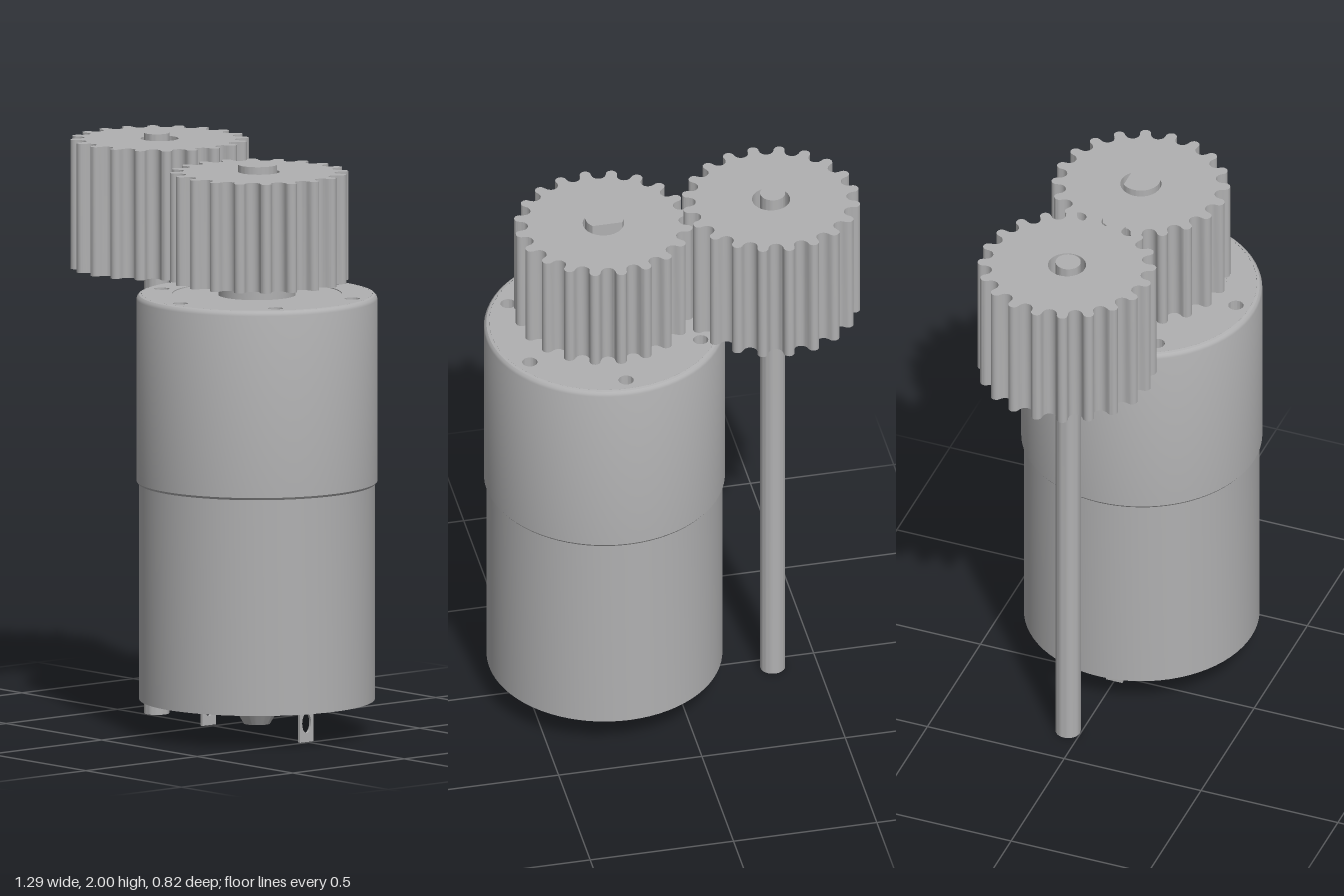
import * as THREE from 'three';
import { toCreasedNormals } from 'three/addons/utils/BufferGeometryUtils.js';

const gray = new THREE.MeshStandardMaterial({ color: 0xb0b0b1 });
gray.name = 'plain gray';

const MOTOR_X = 0.23;

function part(name, geometry, x = 0, y = 0, z = 0) {
  const mesh = new THREE.Mesh(toCreasedNormals(geometry, 0.5), gray);
  mesh.name = name;
  mesh.position.set(x, y, z);
  return mesh;
}

// Turned part from [radius, height] pairs, listed from the bottom up
function turned(name, profile, x = 0, z = 0, segments = 72) {
  const points = profile.map(([r, y]) => new THREE.Vector2(r, y));
  return part(name, new THREE.LatheGeometry(points, segments), x, 0, z);
}

// Flat outline extruded upwards
function upright(name, shape, height, x, y, z) {
  const geometry = new THREE.ExtrudeGeometry(shape, { depth: height, bevelEnabled: false, curveSegments: 24 });
  geometry.rotateX(-Math.PI / 2);
  return part(name, geometry, x, y, z);
}

function circlePath(x, y, r) {
  return new THREE.Path().absarc(x, y, r, 0, Math.PI * 2, true);
}

// Gear outline: round tips alternating with round valleys
function gearShape(teeth, holeRadius) {
  const points = [];
  const steps = 8;
  for (let i = 0; i < teeth * 2; i++) {
    const tip = i % 2 === 0;
    const angle = (i * Math.PI) / teeth;
    for (let j = 0; j < steps; j++) {
      const phi = -Math.PI / 2 + (Math.PI * (j + 0.5)) / steps;
      const t = (tip ? 0.019 : 0.025) * Math.sin(phi);
      const r = tip ? 0.286 + 0.019 * Math.cos(phi) : 0.282 - 0.025 * Math.cos(phi);
      points.push(new THREE.Vector2(
        r * Math.cos(angle) - t * Math.sin(angle),
        r * Math.sin(angle) + t * Math.cos(angle)));
    }
  }
  const shape = new THREE.Shape(points);
  shape.holes.push(circlePath(0, 0, holeRadius));
  return shape;
}

function makeMotor() {
  const motor = new THREE.Group();
  motor.name = 'motor';

  // Can with a recessed end face
  motor.add(turned('motorCan', [[0, 0.14], [0.39, 0.14], [0.39, 0.12], [0.402, 0.12], [0.402, 0.87]], MOTOR_X));

  // Rear bearing with a tapered nose and a bore
  motor.add(turned('rearBearing', [
    [0, 0.07], [0.025, 0.07], [0.025, 0.035], [0.045, 0.035],
    [0.08, 0.095], [0.112, 0.095], [0.112, 0.142]], MOTOR_X));

  // Terminals: thin tabs with a slot, on small collars
  const tab = new THREE.Shape();
  tab.moveTo(-0.03, 0).lineTo(0.03, 0).lineTo(0.03, 0.142).lineTo(-0.03, 0.142).closePath();
  tab.holes.push(new THREE.Path().absellipse(0, 0.065, 0.02, 0.034, 0, Math.PI * 2, true));
  for (const side of [-1, 1]) {
    const geometry = new THREE.ExtrudeGeometry(tab, { depth: 0.01, bevelEnabled: false });
    geometry.translate(0, 0, -0.005).rotateY(Math.PI / 2);
    const x = MOTOR_X + side * 0.255;
    motor.add(part('terminal', geometry, x));
    const collar = new THREE.CylinderGeometry(0.055, 0.055, 0.018, 8);
    collar.scale(0.6, 1, 1);
    motor.add(part('terminalCollar', collar, x, 0.131));
  }
  return motor;
}

function makeGearbox() {
  const gearbox = new THREE.Group();
  gearbox.name = 'gearbox';

  // Housing wall with rounded lips
  gearbox.add(turned('gearboxHousing', [
    [0.39, 0.862], [0.405, 0.864], [0.411, 0.872], [0.411, 1.498],
    [0.408, 1.507], [0.402, 1.513], [0.393, 1.515]], MOTOR_X));

  // Face ring with six screw holes
  const ring = new THREE.Shape().absarc(0, 0, 0.393, 0, Math.PI * 2);
  ring.holes.push(circlePath(0, 0, 0.29));
  for (let i = 0; i < 6; i++) {
    const a = Math.PI / 6 + (i * Math.PI) / 3;
    ring.holes.push(circlePath(0.344 * Math.cos(a), 0.344 * Math.sin(a), 0.026));
  }
  gearbox.add(upright('faceRing', ring, 0.06, MOTOR_X, 1.455, 0));

  // Centre of the face and the floor under the screw holes
  gearbox.add(part('faceCentre', new THREE.CylinderGeometry(0.291, 0.291, 0.06, 72), MOTOR_X, 1.482));
  gearbox.add(part('holeFloor', new THREE.CylinderGeometry(0.4, 0.4, 0.01, 72), MOTOR_X, 1.451));
  gearbox.add(part('outputBoss', new THREE.CylinderGeometry(0.132, 0.132, 0.055, 48), MOTOR_X, 1.5325));
  return gearbox;
}

export function createModel() {
  const model = new THREE.Group();
  model.name = 'gearMotor';
  model.add(makeMotor(), makeGearbox());

  // Output shaft with a flat on its back
  const flat = Math.asin(0.043 / 0.067);
  const dShape = new THREE.Shape().absarc(0, 0, 0.067, Math.PI - flat, Math.PI * 2 + flat);
  model.add(upright('outputShaft', dShape, 0.42, MOTOR_X, 1.54, -0.003));

  // Meshing gears
  model.add(upright('driveGear', gearShape(20, 0.07), 0.375, 0.235, 1.56, -0.005));
  model.add(upright('drivenGear', gearShape(20, 0.065), 0.445, -0.34, 1.535, -0.052));

  // Long side shaft
  model.add(part('sideShaft', new THREE.CylinderGeometry(0.043, 0.043, 2, 36), -0.347, 1, -0.045));
  return model;
}
